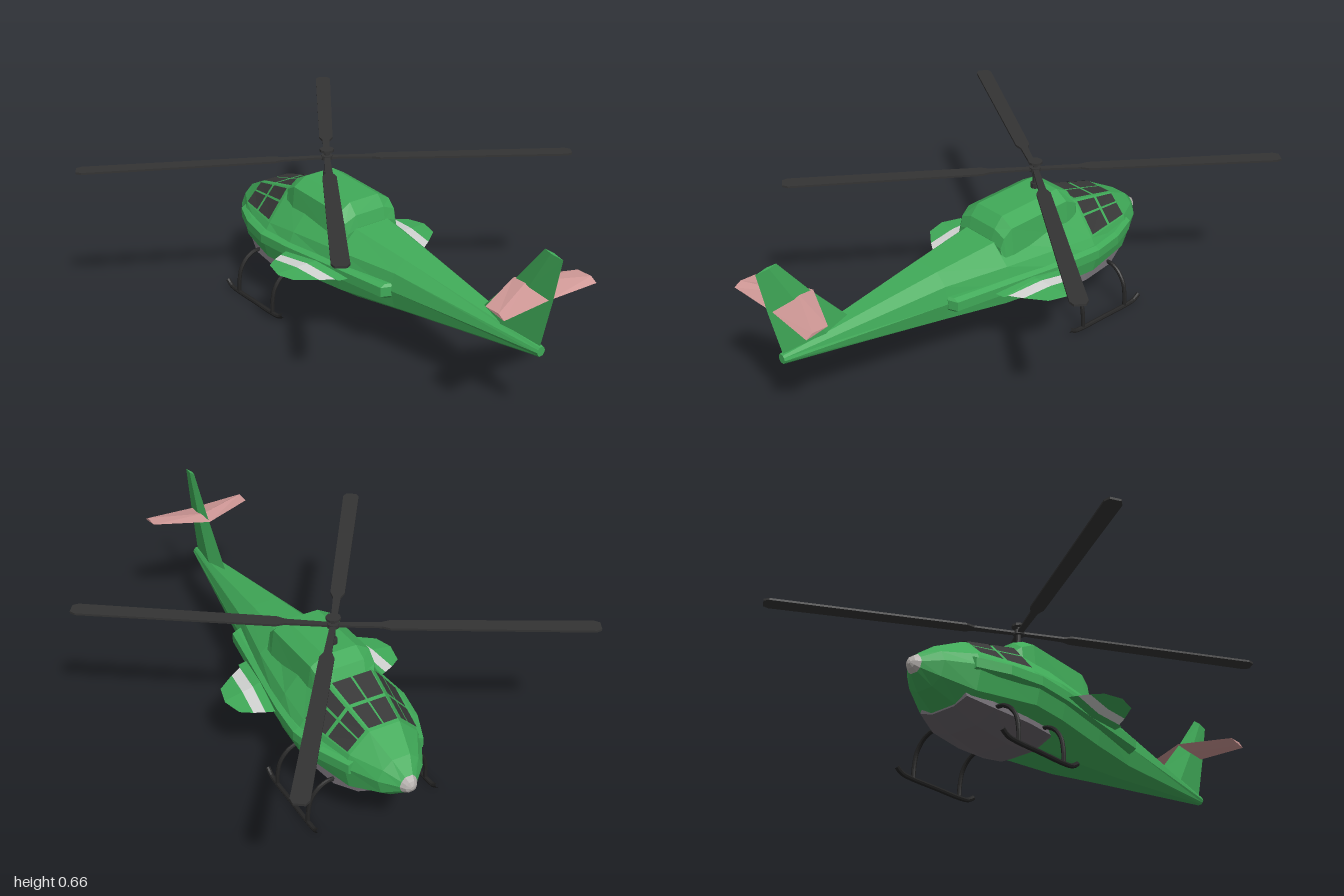
import * as THREE from 'three';

const mat = (name, color, extra = {}) => {
  const m = new THREE.MeshStandardMaterial({ color, flatShading: true, ...extra });
  m.name = name;
  return m;
};

// Skins a list of equal-length rings, closes both ends, and faces outward
function loft(rings) {
  const pos = [], n = rings[0].length;
  const tri = (a, b, c) => pos.push(...a, ...b, ...c);
  for (let i = 0; i < rings.length - 1; i++) {
    for (let j = 0; j < n; j++) {
      const k = (j + 1) % n, p = rings[i], q = rings[i + 1];
      tri(p[j], q[j], q[k]);
      tri(p[j], q[k], p[k]);
    }
  }
  const cap = (r, flip) => {
    const c = [0, 1, 2].map(a => r.reduce((s, p) => s + p[a], 0) / n);
    r.forEach((p, j) => flip ? tri(c, r[(j + 1) % n], p) : tri(c, p, r[(j + 1) % n]));
  };
  cap(rings[0], false);
  cap(rings[rings.length - 1], true);
  let vol = 0;
  const A = new THREE.Vector3(), B = new THREE.Vector3(), C = new THREE.Vector3();
  for (let i = 0; i < pos.length; i += 9) {
    vol += A.fromArray(pos, i).dot(B.fromArray(pos, i + 3).cross(C.fromArray(pos, i + 6)));
  }
  if (vol < 0) {
    for (let i = 0; i < pos.length; i += 9) {
      for (let a = 0; a < 3; a++) [pos[i + 3 + a], pos[i + 6 + a]] = [pos[i + 6 + a], pos[i + 3 + a]];
    }
  }
  const g = new THREE.BufferGeometry();
  g.setAttribute('position', new THREE.Float32BufferAttribute(pos, 3));
  g.computeVertexNormals();
  return g;
}

// Symmetric ring across the hull from half points [halfWidth, y], top to bottom
const ring = (x, half) => [
  ...half.map(([w, y]) => [x, y, w]),
  ...half.slice().reverse().map(([w, y]) => [x, y, -w]),
];

export function createModel() {
  const green = mat('green paint', 0x40aa58);
  const dark = mat('dark rotor', 0x343434);
  const black = mat('black tube', 0x242424);
  const glass = mat('dark glass', 0x383838, { side: THREE.DoubleSide });
  const grey = mat('belly grey', 0x69646a);
  const pale = mat('nose grey', 0xb8b3b0);
  const white = mat('stripe white', 0xd2d4d2);
  const pink = mat('pink paint', 0xcf9896);

  const model = new THREE.Group();
  model.name = 'helicopter';
  const craft = new THREE.Group();
  craft.name = 'airframe';
  craft.position.z = -0.025;
  model.add(craft);
  const add = (name, geo, m, parent = craft) => {
    const mesh = new THREE.Mesh(geo, m);
    mesh.name = name;
    parent.add(mesh);
    return mesh;
  };

  // Fuselage: roof edge, shoulder, waist, lower side, keel edge
  const hull = [
    [-0.742, [[0.015, 0.312], [0.028, 0.297], [0.035, 0.278], [0.028, 0.257], [0.015, 0.246]]],
    [-0.69, [[0.035, 0.356], [0.07, 0.325], [0.09, 0.285], [0.075, 0.23], [0.035, 0.205]]],
    [-0.58, [[0.06, 0.41], [0.135, 0.338], [0.155, 0.29], [0.135, 0.2], [0.06, 0.158]]],
    [-0.35, [[0.085, 0.47], [0.185, 0.347], [0.22, 0.295], [0.2, 0.21], [0.08, 0.122]]],
    [-0.2, [[0.085, 0.472], [0.18, 0.36], [0.21, 0.295], [0.19, 0.21], [0.08, 0.134]]],
    [0.05, [[0.075, 0.433], [0.15, 0.365], [0.17, 0.295], [0.15, 0.21], [0.07, 0.155]]],
    [0.3, [[0.055, 0.402], [0.1, 0.36], [0.115, 0.295], [0.1, 0.225], [0.045, 0.188]]],
    [0.93, [[0.008, 0.312], [0.014, 0.305], [0.018, 0.295], [0.014, 0.285], [0.008, 0.278]]],
  ];
  add('fuselage', loft(hull.map(([x, h]) => ring(x, h))), green);
  add('noseCap', loft([
    ring(-0.742, hull[0][1]),
    ring(-0.76, hull[0][1].map(([w, y]) => [w * 0.65, 0.278 + (y - 0.278) * 0.65])),
    ring(-0.768, hull[0][1].map(([w, y]) => [w * 0.2, 0.278 + (y - 0.278) * 0.2])),
  ]), pale);

  // Engine cowling on the roof
  add('cowling', loft([
    [-0.35, 0.468, 0.06, 0.455, 0.095], [-0.33, 0.508, 0.065, 0.475, 0.11],
    [-0.275, 0.535, 0.065, 0.503, 0.118], [0, 0.521, 0.065, 0.49, 0.118],
    [0.035, 0.48, 0.065, 0.46, 0.115], [0.047, 0.435, 0.06, 0.42, 0.11],
  ].map(([x, t, a, s, b]) => ring(x, [[a, t], [b, s], [b + 0.015, 0.37]]))), green);

  // Belly pan
  add('bellyPan', loft([
    [-0.6, 0.11, 0.18, 0.05, 0.16], [-0.5, 0.15, 0.157, 0.06, 0.122],
    [-0.35, 0.168, 0.152, 0.07, 0.1], [-0.23, 0.16, 0.152, 0.07, 0.113],
    [-0.19, 0.13, 0.168, 0.06, 0.134],
  ].map(([x, w, y, wb, yb]) => ring(x, [[w - 0.02, y + 0.05], [w, y], [wb, yb]]))), grey);

  // Side ridge along the waist
  add('sideRidge', loft([
    [-0.6, 0.15], [-0.48, 0.202], [-0.35, 0.228], [-0.2, 0.218], [0.285, 0.15], [0.3, 0.115],
  ].map(([x, w]) => ring(x, [[w - 0.02, 0.322], [w, 0.312], [w, 0.276], [w - 0.02, 0.266]]))), green);

  // Cockpit panes laid just above the hull facets
  const front = hull[2][1], back = hull[3][1];
  const pane = (edge0, edge1, u0, u1, v0, v1, out) => {
    const at = (u, v) => {
      const p = e => [0, 1].map(i => e[0][i] + (e[1][i] - e[0][i]) * u);
      const a = p(edge0), b = p(edge1);
      return [-0.58 + 0.23 * u, a[1] + (b[1] - a[1]) * v + out[0], a[0] + (b[0] - a[0]) * v + out[1]];
    };
    const c = [at(u0, v0), at(u1, v0), at(u1, v1), at(u0, v1)];
    const g = new THREE.BufferGeometry();
    g.setAttribute('position', new THREE.Float32BufferAttribute(
      [c[0], c[1], c[2], c[0], c[2], c[3]].flat(), 3));
    g.computeVertexNormals();
    return g;
  };
  for (const s of [1, -1]) {
    const side = ([w, y]) => [w * s, y];
    const roof = [side(front[0]), side(back[0])];
    const shoulder = [side(front[1]), side(back[1])];
    const centre = [[0, front[0][1]], [0, back[0][1]]];
    for (const [u0, u1] of [[0.04, 0.46], [0.52, 0.97]]) {
      add('sideWindow', pane(roof, shoulder, u0, u1, 0.46, 0.95, [0.005, 0.005 * s]), glass);
      add('upperWindow', pane(roof, shoulder, u0, u1, 0.07, 0.4, [0.005, 0.005 * s]), glass);
      add('roofWindow', pane(centre, roof, u0, u1, 0.05, 0.93, [0.005, 0]), glass);
    }
  }

  // Stub wings: lens sections [leadX, leadZ, midX, midZ, trailX, trailZ, halfThickness]
  const sections = [
    [-0.2, 0.1, -0.03, 0.1, 0.14, 0.1, 0.022],
    [-0.2, 0.215, -0.04, 0.212, 0.118, 0.208, 0.016],
    [-0.186, 0.25, -0.045, 0.23, 0.1, 0.212, 0.013],
    [-0.168, 0.29, -0.05, 0.275, 0.07, 0.26, 0.009],
    [-0.14, 0.332, -0.06, 0.35, 0.015, 0.332, 0.004],
  ];
  for (const s of [1, -1]) {
    const r = sections.map(([lx, lz, mx, mz, tx, tz, t]) => [
      [lx, 0.292, lz * s], [mx, 0.292 + t, mz * s], [tx, 0.292, tz * s], [mx, 0.292 - t, mz * s]]);
    add('wingRoot', loft(r.slice(0, 3)), green);
    add('wingStripe', loft(r.slice(2, 4)), white);
    add('wingTip', loft(r.slice(3)), green);
  }

  // Tail fin
  const lens = (p, q, t) => {
    const m = [0, 1].map(i => p[i] + (q[i] - p[i]) * 0.4);
    return [[...p, 0], [...m, t], [...q, 0], [...m, -t]];
  };
  add('tailFin', loft([
    lens([0.65, 0.345], [0.922, 0.305], 0.024),
    lens([0.8, 0.515], [0.965, 0.49], 0.014),
    lens([0.917, 0.663], [0.997, 0.652], 0.006),
  ]), green);

  // Tailplane
  add('tailplane', loft([[-0.208, 0.875, 0.96, 0.006], [0, 0.785, 0.95, 0.015], [0.208, 0.875, 0.96, 0.006]]
    .map(([z, a, b, t]) => [[a, 0.508, z], [a + 0.06, 0.502 + t, z], [b, 0.492, z], [a + 0.06, 0.502 - t, z]])), pink);

  // Rotor mast, hub and four blades
  const rotor = new THREE.Group();
  rotor.name = 'mainRotor';
  rotor.position.x = -0.225;
  craft.add(rotor);
  const drum = (name, r, h, y) => add(name, new THREE.CylinderGeometry(r, r, h, 10), dark, rotor).position.set(0, y, 0);
  drum('mast', 0.009, 0.12, 0.58);
  drum('mastCollar', 0.016, 0.02, 0.545);
  drum('hub', 0.022, 0.016, 0.612);
  drum('hubCap', 0.027, 0.009, 0.64);
  const bladeShape = new THREE.Shape([
    [0, -0.01], [0.17, -0.014], [0.2, -0.026], [0.91, -0.031], [0.93, -0.02],
    [0.93, 0.02], [0.91, 0.031], [0.2, 0.026], [0.17, 0.014], [0, 0.01],
  ].map(p => new THREE.Vector2(...p)));
  const bladeGeo = new THREE.ExtrudeGeometry(bladeShape, { depth: 0.008, bevelEnabled: false });
  bladeGeo.rotateX(Math.PI / 2).translate(0, 0.616, 0);
  for (const deg of [-144.2, -55.2, 34.2, 119.5]) {
    add('blade', bladeGeo, dark, rotor).rotation.y = -THREE.MathUtils.degToRad(deg);
  }

  // Landing skids and curved struts
  const tube = (pts, r) => new THREE.TubeGeometry(
    new THREE.CatmullRomCurve3(pts.map(p => new THREE.Vector3(...p))), 24, r, 8);
  for (const s of [1, -1]) {
    const z = 0.246 * s;
    add('skid', tube([[-0.57, 0.032, z], [-0.545, 0.015, z], [-0.5, 0.01, z], [-0.38, 0.01, z],
      [-0.26, 0.01, z], [-0.215, 0.015, z], [-0.187, 0.032, z]], 0.009), black);
    for (const x of [-0.49, -0.26]) {
      add('strut', tube([[x, 0.168, 0.13 * s], [x, 0.167, 0.17 * s], [x, 0.148, 0.205 * s],
        [x, 0.11, 0.233 * s], [x, 0.06, 0.244 * s], [x, 0.01, z]], 0.008), black);
    }
  }
  return model;
}
